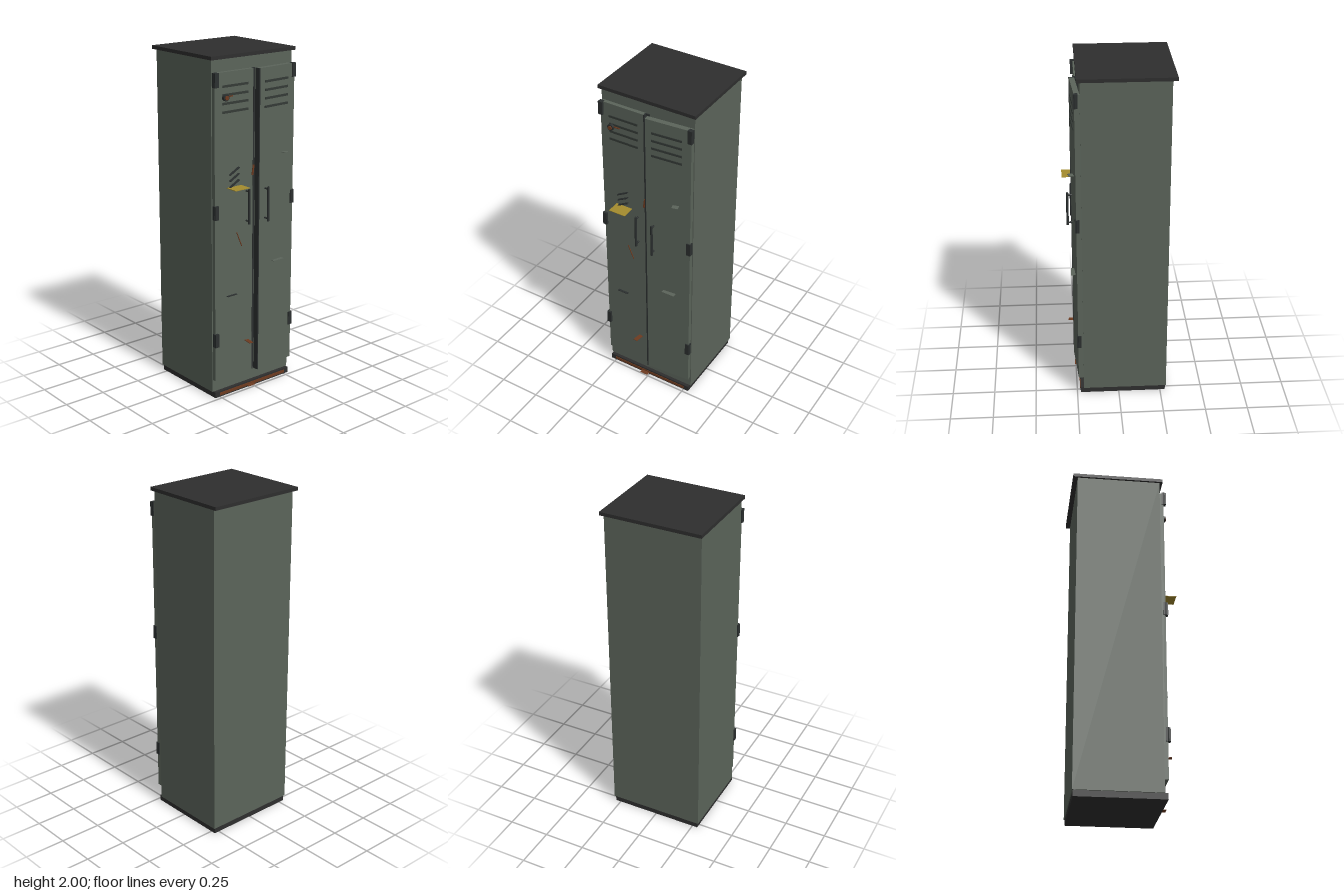
import * as THREE from 'three';

const mat = (name, color) => {
  const m = new THREE.MeshStandardMaterial({ color });
  m.name = name;
  return m;
};

export function createModel() {
  const paint = mat('grey green paint', 0x5b645a);
  const dark = mat('dark trim', 0x2e2e2e);
  const metal = mat('dark metal', 0x2b2f2f);
  const slot = mat('slot shadow', 0x343a36);
  const rust = mat('rust', 0x6e3b20);
  const yellow = mat('yellow notice', 0xa48c2e);

  const root = new THREE.Group();
  root.name = 'locker';

  const add = (parent, name, geo, material, x, y, z) => {
    const m = new THREE.Mesh(geo, material);
    m.name = name;
    m.position.set(x, y, z);
    parent.add(m);
    return m;
  };
  const box = (parent, name, material, w, h, d, x, y, z) =>
    add(parent, name, new THREE.BoxGeometry(w, h, d), material, x, y, z);

  // Cabinet, lid and plinth
  box(root, 'cabinet', paint, 0.58, 1.945, 0.495, 0, 1.0075, -0.0375);
  box(root, 'lid', dark, 0.604, 0.02, 0.54, 0, 1.99, -0.042);
  box(root, 'plinth', dark, 0.565, 0.035, 0.51, 0, 0.0175, -0.025);
  box(root, 'plinthRust', rust, 0.5, 0.018, 0.004, 0, 0.017, 0.231);
  box(root, 'plinthRustFlake', rust, 0.05, 0.003, 0.028, -0.025, 0.015, 0.242);
  box(root, 'doorGap', metal, 0.03, 1.8, 0.008, 0, 1.01, 0.213);

  // Doors: each group pivots on its outer edge, side -1 is the right door of the model
  for (const side of [-1, 1]) {
    const door = new THREE.Group();
    door.name = side < 0 ? 'rightDoor' : 'leftDoor';
    door.position.set(side * 0.285, 0, 0.21);
    door.rotation.y = side > 0 ? 0.075 : 0;
    root.add(door);
    const front = side > 0 ? 0.03 : 0.023;
    const at = (x) => x - side * 0.285;

    box(door, 'doorPanel', paint, 0.273, 1.8, front, at(side * 0.1485), 1.01, front / 2);
    box(door, 'doorEdge', metal, 0.007, 1.8, front + 0.003, at(side * 0.0085), 1.01, front / 2);

    // Vent slots
    for (let i = 0; i < 4; i++) {
      box(door, 'ventSlot', slot, 0.182, 0.013, 0.006, at(side * 0.14), 1.69 + i * 0.0475, front + 0.001);
    }

    // Pull handle: bar, rounded ends and two standoffs
    const hx = at(side * 0.058), hz = front + 0.027;
    add(door, 'handleBar', new THREE.CylinderGeometry(0.007, 0.007, 0.205, 12), metal, hx, 1.132, hz);
    for (const y of [1.045, 1.22]) {
      const post = add(door, 'handlePost', new THREE.CylinderGeometry(0.005, 0.005, 0.027, 10),
        metal, hx, y, front + 0.0135);
      post.rotation.x = Math.PI / 2;
    }

    // Hinges
    for (const y of [0.365, 1.13, 1.872]) {
      box(root, 'hinge', metal, 0.026, 0.08, 0.026, side * 0.279, y, 0.234);
      add(root, 'hingePin', new THREE.CylinderGeometry(0.007, 0.007, 0.08, 10), metal, side * 0.287, y, 0.236);
    }
  }

  // Rusty lock with its bolt
  const lock = add(root, 'lock', new THREE.CylinderGeometry(0.019, 0.019, 0.018, 16), metal, -0.215, 1.772, 0.243);
  lock.rotation.x = Math.PI / 2;
  const core = add(root, 'lockCore', new THREE.CylinderGeometry(0.012, 0.012, 0.006, 16), rust, -0.215, 1.772, 0.254);
  core.rotation.x = Math.PI / 2;
  box(root, 'lockBolt', rust, 0.045, 0.006, 0.008, -0.185, 1.776, 0.238);

  // Notice sticking out of the door
  box(root, 'notice', yellow, 0.104, 0.003, 0.082, -0.149, 1.26, 0.271);

  // Slanted scratches
  for (let i = 0; i < 3; i++) {
    const s = box(root, 'scratch', metal, 0.075, 0.004, 0.016, -0.152, 1.28 + i * 0.036, 0.242);
    s.rotation.z = 0.5;
  }
  const streak = box(root, 'rustStreak', rust, 0.004, 0.095, 0.006, -0.111, 0.945, 0.234);
  streak.rotation.z = 0.4;

  // Peeling flakes: material, width, depth, x, y, z, turn
  const flakes = [
    [metal, 0.07, 0.014, -0.17, 0.62, 0.243, 0],
    [rust, 0.026, 0.055, -0.057, 0.31, 0.262, -0.15],
    [paint, 0.08, 0.027, 0.16, 0.77, 0.259, 0],
    [paint, 0.036, 0.028, 0.205, 1.41, 0.264, 0.25],
  ];
  for (const [m, w, d, x, y, z, turn] of flakes) {
    box(root, 'flake', m, w, 0.003, d, x, y, z).rotation.y = turn;
  }
  // Small chip on the inner door edge
  box(root, 'edgeChip', rust, 0.01, 0.06, 0.006, -0.012, 1.335, 0.236).rotation.z = -0.15;

  return root;
}
